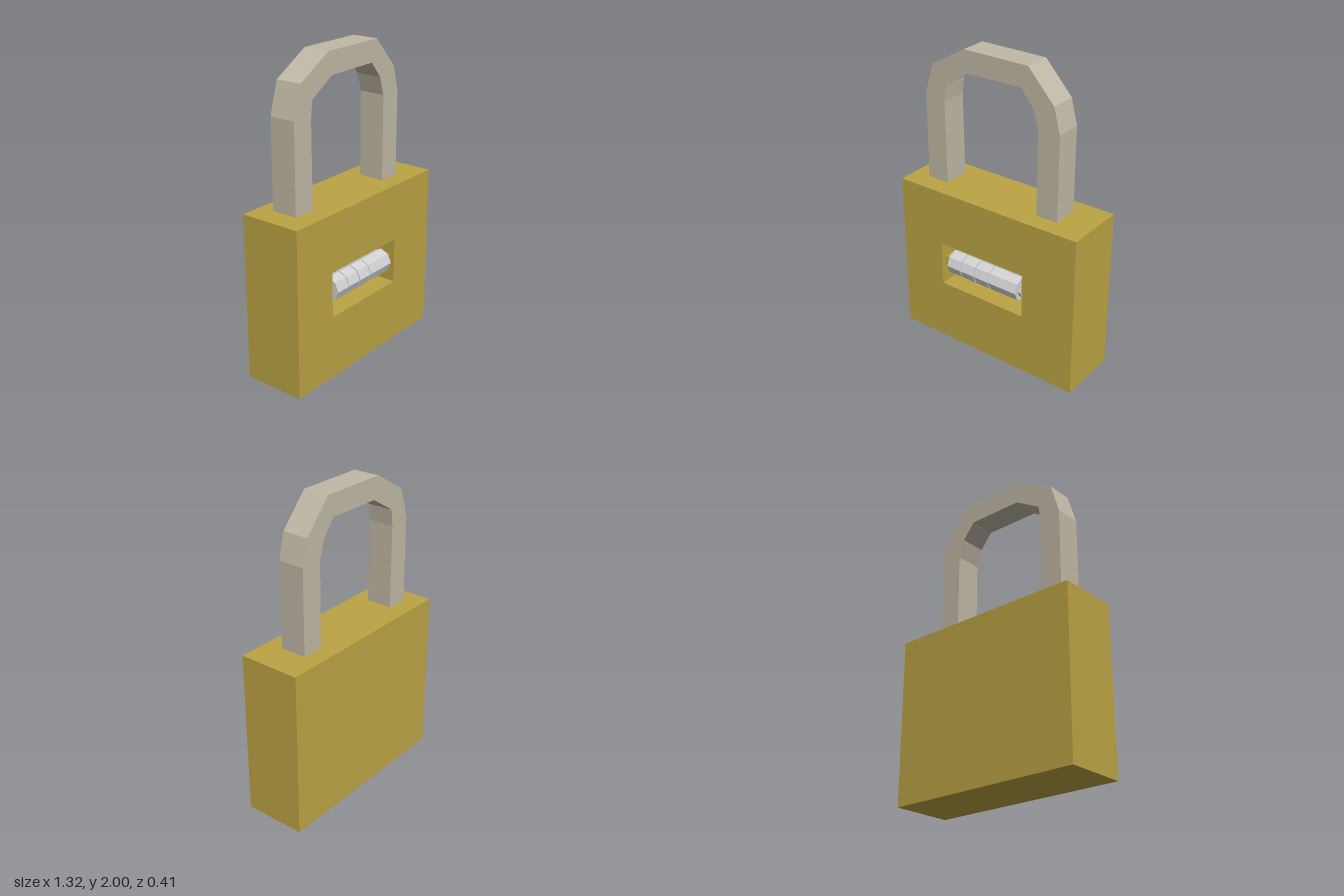
import * as THREE from 'three';

const gold = new THREE.MeshStandardMaterial({ name: 'brass', color: 0xbca444, flatShading: true });
const steel = new THREE.MeshStandardMaterial({ name: 'warmSteel', color: 0xc0b9a6, flatShading: true });
const silver = new THREE.MeshStandardMaterial({ name: 'silver', color: 0xd2d2d4, flatShading: true });

const points = (list) => list.map(([x, y]) => new THREE.Vector2(x, y));

// Extrudes a shape between two z values
function slab(shape, z0, z1) {
  const geometry = new THREE.ExtrudeGeometry(shape, { depth: z1 - z0, bevelEnabled: false });
  return geometry.translate(0, 0, z0);
}

function addMesh(group, name, geometry, material) {
  const mesh = new THREE.Mesh(geometry, material);
  mesh.name = name;
  group.add(mesh);
  return mesh;
}

// Eight-sided bar lying along x
function bar(x0, x1, radius) {
  return new THREE.CylinderGeometry(radius, radius, x1 - x0, 8)
    .rotateZ(Math.PI / 2)
    .translate((x0 + x1) / 2, 0.565, 0.127);
}

export function createModel() {
  const group = new THREE.Group();
  group.name = 'padlock';

  // Body: front frame with a window, closed by a solid back
  const front = 0.2, back = -0.207, recess = 0.04;
  const frame = new THREE.Shape(points([[-0.66, 0], [0.66, 0], [0.66, 1.083], [-0.66, 1.083]]));
  frame.holes.push(new THREE.Path(points([[-0.345, 0.415], [-0.345, 0.713], [0.285, 0.713], [0.285, 0.415]])));
  addMesh(group, 'bodyFront', slab(frame, recess, front), gold);
  const rear = new THREE.BoxGeometry(1.32, 1.083, recess - back);
  rear.translate(0, 1.083 / 2, (recess + back) / 2);
  addMesh(group, 'bodyBack', rear, gold);

  // Shackle: slightly irregular faceted arch
  const arch = new THREE.Shape(points([
    [-0.53, 1.092], [-0.38, 1.092], [-0.385, 1.64], [-0.372, 1.75], [-0.195, 1.858],
    [0.18, 1.862], [0.265, 1.76], [0.302, 1.64], [0.302, 1.083],
    [0.45, 1.083], [0.45, 1.64], [0.408, 1.803], [0.228, 2], [-0.228, 2],
    [-0.47, 1.86], [-0.53, 1.66],
  ]));
  addMesh(group, 'shackle', slab(arch, -0.092, 0.082), steel);

  // Axle across the recess
  const axle = new THREE.BoxGeometry(0.63, 0.07, 0.07).translate(-0.03, 0.567, 0.127);
  addMesh(group, 'axle', axle, gold);

  // Number dials with a small end hub
  const dials = [[-0.3, -0.197], [-0.19, -0.088], [-0.08, 0.022], [0.028, 0.132], [0.132, 0.24]];
  dials.forEach(([x0, x1], i) => addMesh(group, `dial${i + 1}`, bar(x0, x1, 0.08), silver));
  addMesh(group, 'dialHub', bar(0.24, 0.258, 0.05), silver);

  return group;
}
